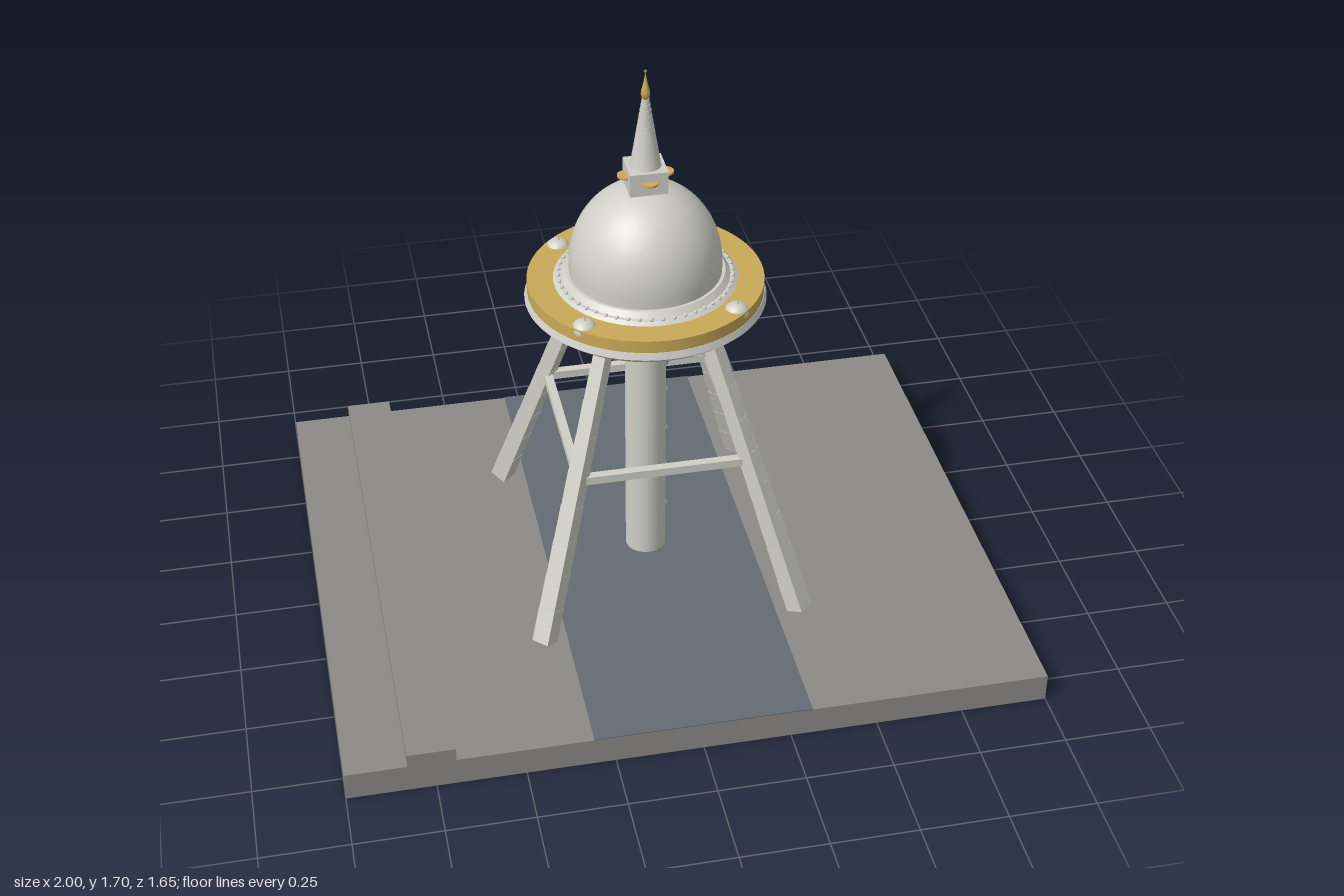
import * as THREE from 'three';

export function createModel() {
  const model = new THREE.Group();
  const mat = (name, color) => {
    const m = new THREE.MeshStandardMaterial({ color });
    m.name = name;
    return m;
  };
  const stone = mat('pale stone', 0xcfcfc7);
  const gold = mat('gold', 0xc9a957);
  const concrete = mat('concrete', 0x8c8a87);
  const road = mat('road blue grey', 0x646b73);
  const glass = mat('window grey', 0x868a8a);
  const jewel = mat('jewel blue', 0x66768c);

  const add = (name, geometry, material, x = 0, y = 0, z = 0, parent = model) => {
    const mesh = new THREE.Mesh(geometry, material);
    mesh.name = name;
    mesh.position.set(x, y, z);
    parent.add(mesh);
    return mesh;
  };
  const box = (w, h, d) => new THREE.BoxGeometry(w, h, d);
  // Round tier given by its bottom and top heights
  const tier = (name, rBottom, rTop, y0, y1, material, parent = model) =>
    add(name, new THREE.CylinderGeometry(rTop, rBottom, y1 - y0, 64), material, 0, (y0 + y1) / 2, 0, parent);
  const lathe = (points, sides) =>
    new THREE.LatheGeometry(points.map(([r, y]) => new THREE.Vector2(r, y)), sides);

  // Ground slab, road and curb
  add('groundSlab', box(2, 0.085, 1.655), concrete, 0, 0.0425, 0);
  add('roadStrip', box(0.62, 0.003, 1.655), road, 0, 0.0865, 0);
  add('curb', box(0.135, 0.04, 1.655), concrete, -0.76, 0.105, 0);

  // Central shaft with a column of windows
  tier('shaft', 0.06, 0.06, 0.085, 0.9, stone);
  for (let i = 0; i < 5; i++) {
    add('shaftWindow', box(0.009, 0.05, 0.026), glass, 0.0605, 0.205 + i * 0.14, 0);
  }

  // Four leaning legs made of stacked, shrinking blocks
  const SEGMENTS = 9;
  for (const sx of [-1, 1]) {
    for (const sz of [-1, 1]) {
      const foot = new THREE.Vector3(sx * 0.379, 0.096, sz * 0.407);
      const head = new THREE.Vector3(sx * 0.137, 0.98, sz * 0.152);
      const up = head.clone().sub(foot);
      const length = up.length();
      up.normalize();
      const side = new THREE.Vector3(up.z, 0, -up.x).normalize();
      const out = new THREE.Vector3().crossVectors(side, up);
      const leg = new THREE.Group();
      leg.name = 'leg';
      leg.position.copy(foot);
      leg.quaternion.setFromRotationMatrix(new THREE.Matrix4().makeBasis(side, up, out));
      const step = length / SEGMENTS;
      for (let i = 0; i < SEGMENTS; i++) {
        const s = 0.053 - 0.013 * (i / (SEGMENTS - 1));
        add('legBlock', box(s, step, s), stone, 0, (i + 0.5) * step, 0, leg);
      }
      model.add(leg);
    }
  }

  // Square of braces between the legs
  for (const s of [-1, 1]) {
    add('crossBrace', box(0.49, 0.025, 0.025), stone, 0, 0.556, s * 0.268);
    add('sideBrace', box(0.025, 0.025, 0.53), stone, s * 0.248, 0.556, 0);
  }

  // Round platform with gold ring
  tier('platformUnderside', 0.322, 0.345, 0.97, 0.99, stone);
  tier('platformRim', 0.345, 0.338, 0.99, 1.01, stone);
  tier('goldRing', 0.337, 0.337, 1.01, 1.047, gold);
  tier('domePlinth', 0.262, 0.25, 1.047, 1.056, stone);
  tier('domeFoot', 0.24, 0.226, 1.056, 1.072, stone);
  for (let i = 0; i < 48; i++) {
    const a = (i / 48) * Math.PI * 2;
    add('plinthBead', new THREE.SphereGeometry(0.006, 8, 6), stone, Math.cos(a) * 0.247, 1.058, Math.sin(a) * 0.247);
  }

  // Small corner domes with pointed tips
  for (const sx of [-1, 1]) {
    for (const sz of [-1, 1]) {
      const knob = new THREE.Group();
      knob.name = 'cornerDome';
      knob.position.set(sx * 0.215, 1.035, sz * 0.215);
      add('cornerDomeBody', new THREE.SphereGeometry(0.035, 24, 14), stone, 0, 0, 0, knob).scale.y = 0.8;
      add('cornerDomeTip', new THREE.ConeGeometry(0.006, 0.014, 12), stone, 0, 0.033, 0, knob);
      model.add(knob);
    }
  }

  // Main dome: short upright wall, then a rounded cap
  const profile = [[0.217, 1.066]];
  for (let i = 0; i <= 24; i++) {
    const a = (i / 24) * Math.PI / 2;
    profile.push([Math.max(0.217 * Math.cos(a), 0), 1.1 + 0.242 * Math.sin(a)]);
  }
  add('dome', lathe(profile, 64), stone);

  // Square crown block with a thin gold oval on each face
  add('crownBlock', box(0.108, 0.068, 0.108), stone, 0, 1.373, 0);
  for (let i = 0; i < 4; i++) {
    const a = (i * Math.PI) / 2;
    add('goldOval', new THREE.CylinderGeometry(0.024, 0.024, 0.006, 24), gold,
      Math.sin(a) * 0.056, 1.379, Math.cos(a) * 0.056);
  }

  // Ringed spire
  const RINGS = 13;
  for (let i = 0; i < RINGS; i++) {
    const r = 0.044 - 0.032 * (i / (RINGS - 1));
    const h = 0.205 / RINGS;
    add('spireRing', new THREE.CylinderGeometry(r * 0.92, r, h, 32), stone, 0, 1.407 + (i + 0.5) * h, 0);
  }

  // Gold finial and jewel
  add('finial', lathe([[0, 1.608], [0.008, 1.61], [0.013, 1.625], [0.012, 1.637],
    [0.007, 1.655], [0.003, 1.675], [0, 1.692]], 24), gold);
  add('jewel', new THREE.SphereGeometry(0.005, 12, 8), jewel, 0, 1.694, 0);

  return model;
}
